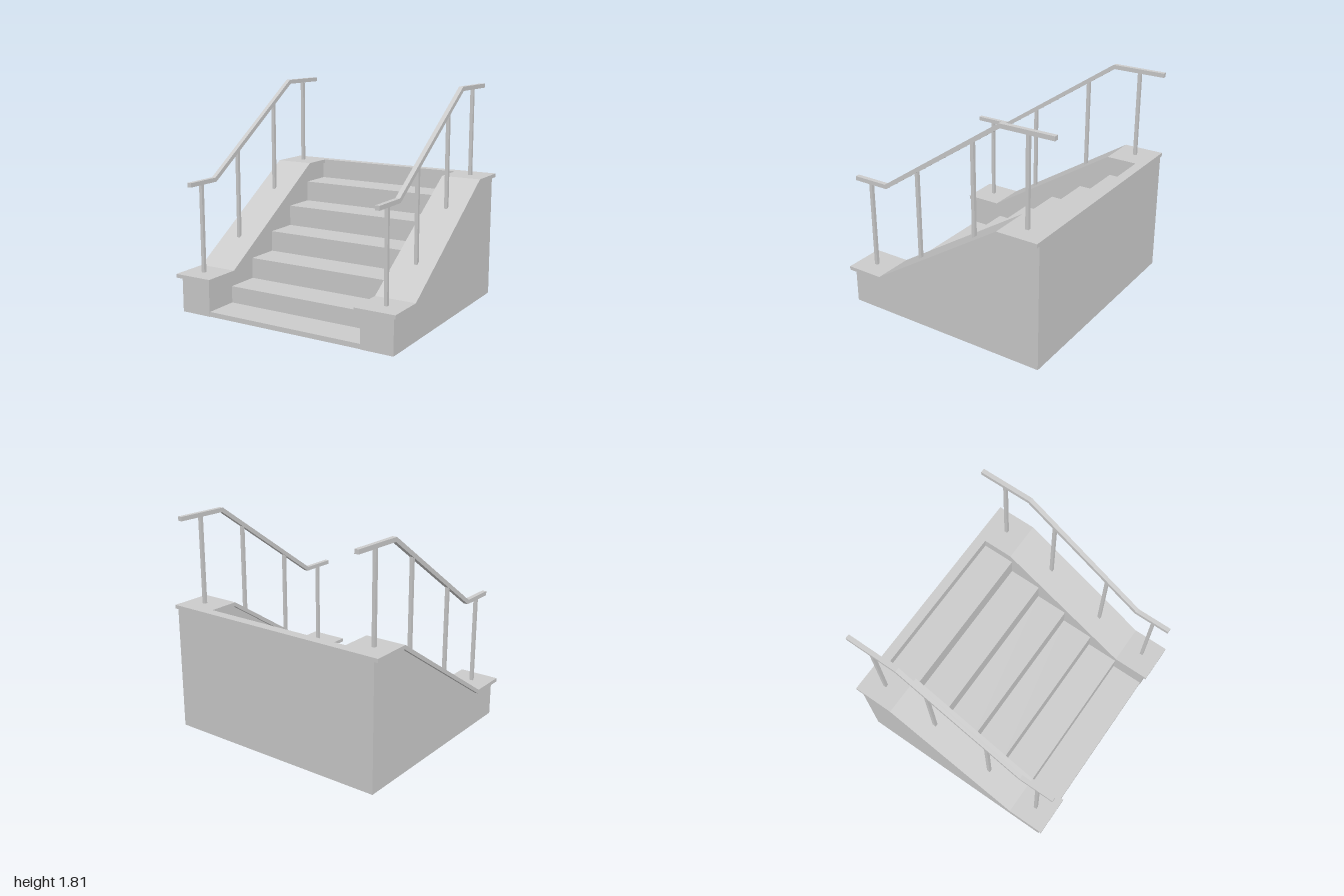
import * as THREE from 'three';

const material = new THREE.MeshStandardMaterial({ color: 0xcccccc, flatShading: true });

// Extrudes a side profile of [z, y] points between x0 and x1
function sideExtrude(name, points, x0, x1) {
  const shape = new THREE.Shape(points.map(([z, y]) => new THREE.Vector2(-z, y)));
  const geometry = new THREE.ExtrudeGeometry(shape, { depth: x1 - x0, bevelEnabled: false });
  geometry.rotateY(Math.PI / 2);
  geometry.translate(x0, 0, 0);
  const mesh = new THREE.Mesh(geometry, material);
  mesh.name = name;
  return mesh;
}

function box(name, x0, x1, y0, y1, z0, z1) {
  const mesh = new THREE.Mesh(new THREE.BoxGeometry(x1 - x0, y1 - y0, z1 - z0), material);
  mesh.name = name;
  mesh.position.set((x0 + x1) / 2, (y0 + y1) / 2, (z0 + z1) / 2);
  return mesh;
}

const BACK = -0.882;
const WALL_FRONT = 0.885;

export function createModel() {
  const model = new THREE.Group();
  model.name = 'entranceSteps';

  // Stepped block, closed at the back by a low wall
  const risers = [0.88, 0.593, 0.308, 0.02, -0.265, -0.55, -0.83];
  const treads = [0.04, 0.18, 0.355, 0.53, 0.707, 0.883, 1.027];
  const stepProfile = [[BACK, 0], [risers[0], 0]];
  risers.forEach((z, i) => {
    if (i > 0) stepProfile.push([z, treads[i - 1]]);
    stepProfile.push([z, treads[i]]);
  });
  stepProfile.push([BACK, 1.027]);
  model.add(sideExtrude('steps', stepProfile, -0.695, 0.695));

  // Coping across the back wall
  model.add(box('backCoping', -0.66, 0.66, 1.027, 1.058, BACK, -0.8));

  const wallTop = [[0.596, 0.29], [-0.549, 1.027], [BACK, 1.027]];
  const wallProfile = [[BACK, 0], [WALL_FRONT, 0], [WALL_FRONT, 0.29], ...wallTop];
  const copingProfile = [
    [0.922, 0.29], [0.922, 0.321], [0.605, 0.321], [-0.54, 1.058], [BACK, 1.058],
    ...[...wallTop].reverse(),
  ];
  const railProfile = [
    [0.912, 1.045], [0.912, 1.08], [0.609, 1.08], [-0.47, 1.81], [-0.923, 1.81],
    [-0.923, 1.775], [-0.481, 1.775], [0.598, 1.045],
  ];
  // Posts as [z, bottom, top]
  const posts = [[0.765, 0.31, 1.05], [0.29, 0.505, 1.275], [-0.235, 0.845, 1.63], [-0.705, 1.05, 1.78]];

  for (const side of [1, -1]) {
    const flank = new THREE.Group();
    flank.name = side > 0 ? 'leftFlank' : 'rightFlank';
    const add = (name, profile, inner, outer) => flank.add(
      sideExtrude(name, profile, Math.min(side * inner, side * outer), Math.max(side * inner, side * outer)));

    add('sideWall', wallProfile, 0.695, 0.967);
    add('coping', copingProfile, 0.66, 0.998);
    add('handrail', railProfile, 0.823, 0.86);

    const x = side * 0.8415;
    const r = 0.0135;
    for (const [z, y0, y1] of posts) flank.add(box('railPost', x - r, x + r, y0, y1, z - r, z + r));
    model.add(flank);
  }

  model.position.x = -0.003;
  return model;
}
